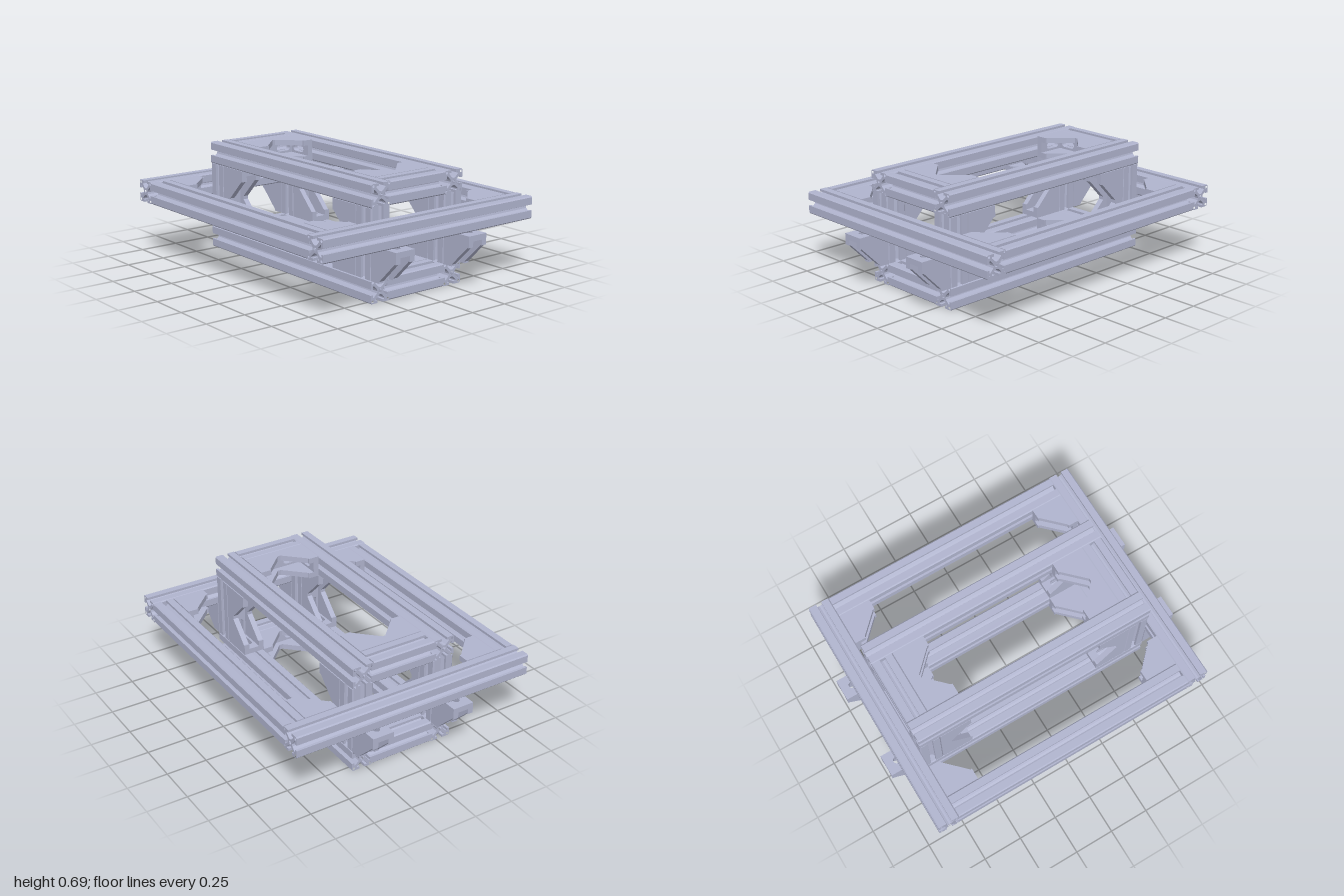
import * as THREE from 'three';

// All sizes in millimetres; the whole frame is scaled at the end
const SCALE = 1 / 290;

const aluminium = new THREE.MeshStandardMaterial({ color: 0xb0b4ce });
aluminium.name = 'aluminium';

// Square slotted rail section, 40 x 40
function railShape() {
  const eighth = [[0, 6], [3.5, 7], [10, 13.5], [10, 15.5], [5.2, 15.5], [5.2, 20], [18, 20]];
  const quarter = [...eighth, ...eighth.slice(1).reverse().map(([x, y]) => [y, x])];
  const pts = [];
  for (let i = 0; i < 4; i++) {
    for (const [x, y] of quarter) {
      pts.push(new THREE.Vector2(x, y).rotateAround(new THREE.Vector2(), -i * Math.PI / 2));
    }
  }
  const shape = new THREE.Shape(pts);
  const hole = (x, y, r) => shape.holes.push(new THREE.Path().absarc(x, y, r, 0, Math.PI * 2, true));
  hole(0, 0, 3.4);
  for (const x of [-16, 16]) for (const y of [-16, 16]) hole(x, y, 2.3);
  return shape;
}

const section = railShape();

function rail(name, length, axis, x, y, z) {
  const geo = new THREE.ExtrudeGeometry(section, { depth: length, bevelEnabled: false, curveSegments: 6 });
  geo.translate(0, 0, -length / 2);
  if (axis === 'x') geo.rotateY(Math.PI / 2);
  if (axis === 'y') geo.rotateX(Math.PI / 2);
  const mesh = new THREE.Mesh(geo, aluminium);
  mesh.name = name;
  mesh.position.set(x, y, z);
  return mesh;
}

// Gusset cheek, corner at the origin with legs along +x and +y
const cheekGeo = new THREE.ExtrudeGeometry(
  new THREE.Shape([[0, 0], [60, 0], [60, 20], [57, 20], [20, 57], [20, 60], [0, 60]]
    .map(([x, y]) => new THREE.Vector2(x, y))),
  { depth: 10, bevelEnabled: false });

// Bolting flange with a long slot, lying along +x
function flangeGeometry() {
  const shape = new THREE.Shape([[0, -10], [60, -10], [60, 10], [0, 10]]
    .map(([x, y]) => new THREE.Vector2(x, y)));
  const slot = new THREE.Path();
  slot.absarc(39.5, 0, 6, -Math.PI / 2, Math.PI / 2, false);
  slot.absarc(21, 0, 6, Math.PI / 2, Math.PI * 1.5, false);
  slot.closePath();
  shape.holes.push(slot);
  const geo = new THREE.ExtrudeGeometry(shape, { depth: 10, bevelEnabled: false, curveSegments: 10 });
  return geo.rotateX(-Math.PI / 2);
}
const flangeGeo = flangeGeometry();
// Half turn about the diagonal swaps the two legs
const flangeGeo2 = flangeGeo.clone().applyMatrix4(
  new THREE.Matrix4().makeRotationAxis(new THREE.Vector3(1, 1, 0).normalize(), Math.PI));

// Bracket at an inner corner, legs pointing along a and b
function bracket(name, origin, a, b) {
  const g = new THREE.Group();
  g.name = name;
  const add = (part, geo, z = 0) => {
    const m = new THREE.Mesh(geo, aluminium);
    m.name = part;
    m.position.z = z;
    g.add(m);
  };
  add('cheek', cheekGeo, 10);
  add('cheek', cheekGeo, -20);
  add('flange', flangeGeo);
  add('flange', flangeGeo2);
  const va = new THREE.Vector3(...a), vb = new THREE.Vector3(...b);
  const vc = new THREE.Vector3().crossVectors(va, vb);
  g.quaternion.setFromRotationMatrix(new THREE.Matrix4().makeBasis(va, vb, vc));
  g.position.set(...origin);
  return g;
}

export function createModel() {
  const model = new THREE.Group();
  model.name = 'slottedRailFrame';
  const frame = new THREE.Group();
  frame.name = 'frame';
  frame.scale.setScalar(SCALE);
  model.add(frame);

  // Long rails, lower and upper, and the outer side rails
  for (const s of [-1, 1]) {
    frame.add(
      rail('lowerRail', 460, 'z', s * 80, 20, 0),
      rail('upperRail', 460, 'z', s * 80, 180, 0),
      rail('sideRail', 460, 'z', s * 210, 120, 0),
      // End beams and short cross pieces
      rail('endBeam', 460, 'x', 0, 120, s * 250),
      rail('lowerCrossPiece', 120, 'x', 0, 20, s * 210),
      rail('upperCrossPiece', 120, 'x', 0, 180, s * 210));
  }

  // Posts and corner brackets, mirrored to all four corners
  for (const sx of [-1, 1]) {
    for (const sz of [-1, 1]) {
      const inX = [-sx, 0, 0], inZ = [0, 0, -sz], outZ = [0, 0, sz];
      const up = [0, 1, 0], down = [0, -1, 0];
      frame.add(
        rail('post', 120, 'y', sx * 80, 100, sz * 210),
        bracket('sideRailBracket', [sx * 190, 120, sz * 230], inX, inZ),
        bracket('endBeamBracket', [sx * 80, 100, sz * 230], outZ, down),
        bracket('lowerPostBracket', [sx * 80, 40, sz * 190], inZ, up),
        bracket('upperPostBracket', [sx * 80, 160, sz * 190], inZ, down),
        bracket('lowerCrossBracket', [sx * 60, 20, sz * 190], inX, inZ),
        bracket('upperCrossBracket', [sx * 60, 180, sz * 190], inX, inZ));
    }
  }
  return model;
}
